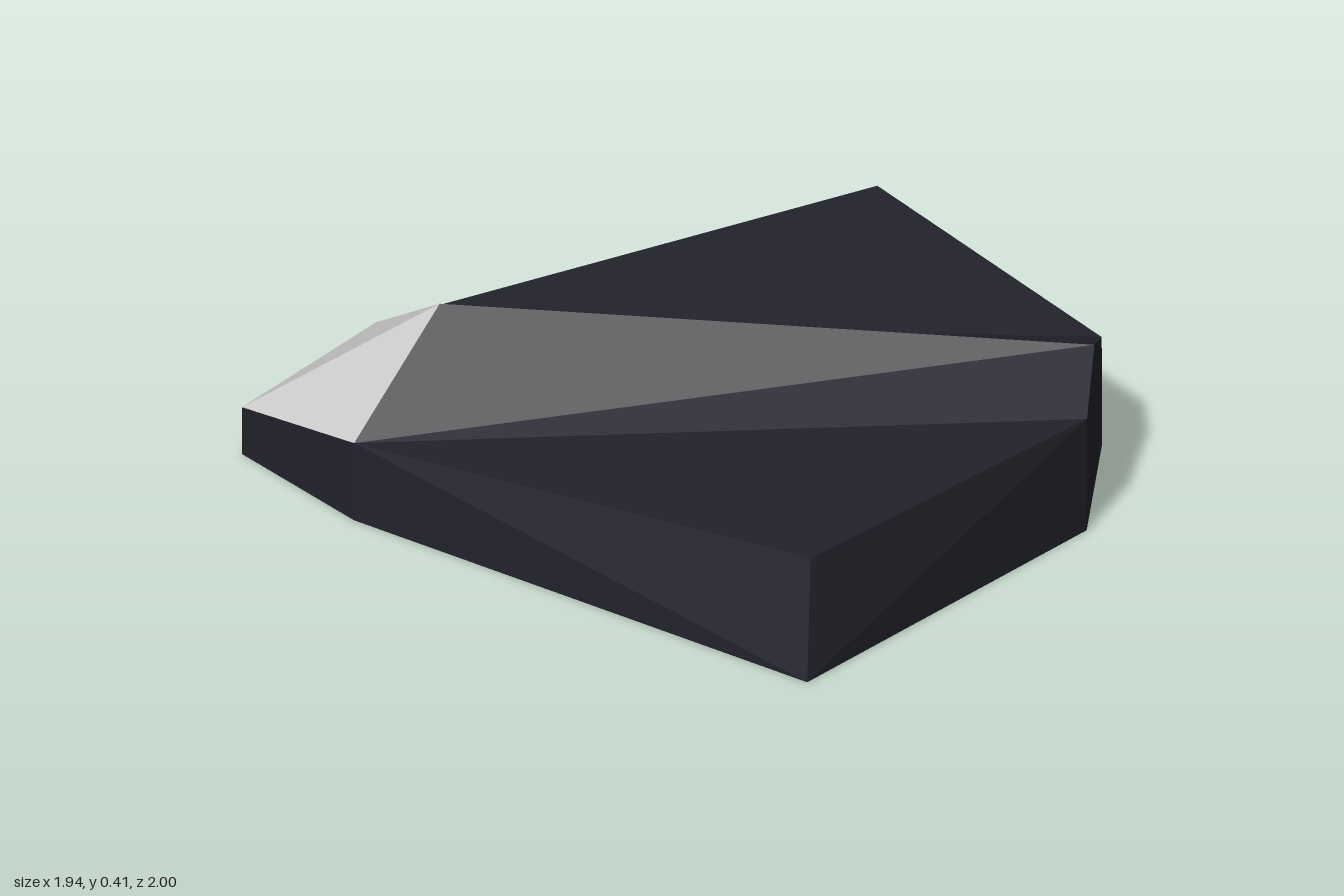
import * as THREE from 'three';

// Corners of the left (+z) half; the other half is mirrored
const P = {
  noseLow: [-0.97, 0, 0], noseTop: [-0.97, 0.12, 0],
  cheekLow: [-0.69, 0, 0.3], cheekTop: [-0.69, 0.195, 0.295],
  wingLow: [0.4, 0, 1], wingTop: [0.4, 0.27, 0.91],
  tailLow: [0.97, 0, 0.21], tailTop: [0.97, 0.28, 0.2],
  sternLow: [0.97, 0, 0], sternTop: [0.97, 0.365, 0],
  ridge: [-0.52, 0.405, 0],
};

// Builds flat faces (lists of corner names) and their mirror image across z = 0
function mirroredFaces(name, material, faces) {
  const pos = [];
  for (const face of faces) {
    for (let i = 1; i < face.length - 1; i++) {
      const tri = [face[0], face[i], face[i + 1]].map((k) => P[k]);
      tri.forEach((p) => pos.push(...p));
      tri.reverse().forEach(([x, y, z]) => pos.push(x, y, -z));
    }
  }
  const geometry = new THREE.BufferGeometry();
  geometry.setAttribute('position', new THREE.Float32BufferAttribute(pos, 3));
  geometry.computeVertexNormals();
  const mesh = new THREE.Mesh(geometry, material);
  mesh.name = name;
  return mesh;
}

export function createModel() {
  const hull = new THREE.MeshStandardMaterial({ color: 0x22222c });
  hull.name = 'dark hull';
  const glass = new THREE.MeshStandardMaterial({ color: 0xcccccc });
  glass.name = 'pale canopy';

  const group = new THREE.Group();
  group.name = 'wedgeCraft';
  group.add(
    // Sloping side walls and the flat stern
    mirroredFaces('sideWalls', hull, [
      ['noseLow', 'cheekLow', 'cheekTop', 'noseTop'],
      ['cheekLow', 'wingLow', 'cheekTop'],
      ['wingLow', 'wingTop', 'cheekTop'],
      ['wingLow', 'tailLow', 'tailTop', 'wingTop'],
    ]),
    mirroredFaces('stern', hull, [['tailLow', 'sternLow', 'sternTop', 'tailTop']]),
    // Wide wing decks and the raised spine between them
    mirroredFaces('wingDecks', hull, [['cheekTop', 'wingTop', 'tailTop']]),
    mirroredFaces('spine', hull, [['cheekTop', 'tailTop', 'sternTop', 'ridge']]),
    // Flat underside
    mirroredFaces('underside', hull, [['noseLow', 'sternLow', 'tailLow', 'wingLow', 'cheekLow']]),
    // Faceted canopy over the nose
    mirroredFaces('canopy', glass, [['noseTop', 'cheekTop', 'ridge']]),
  );
  return group;
}
